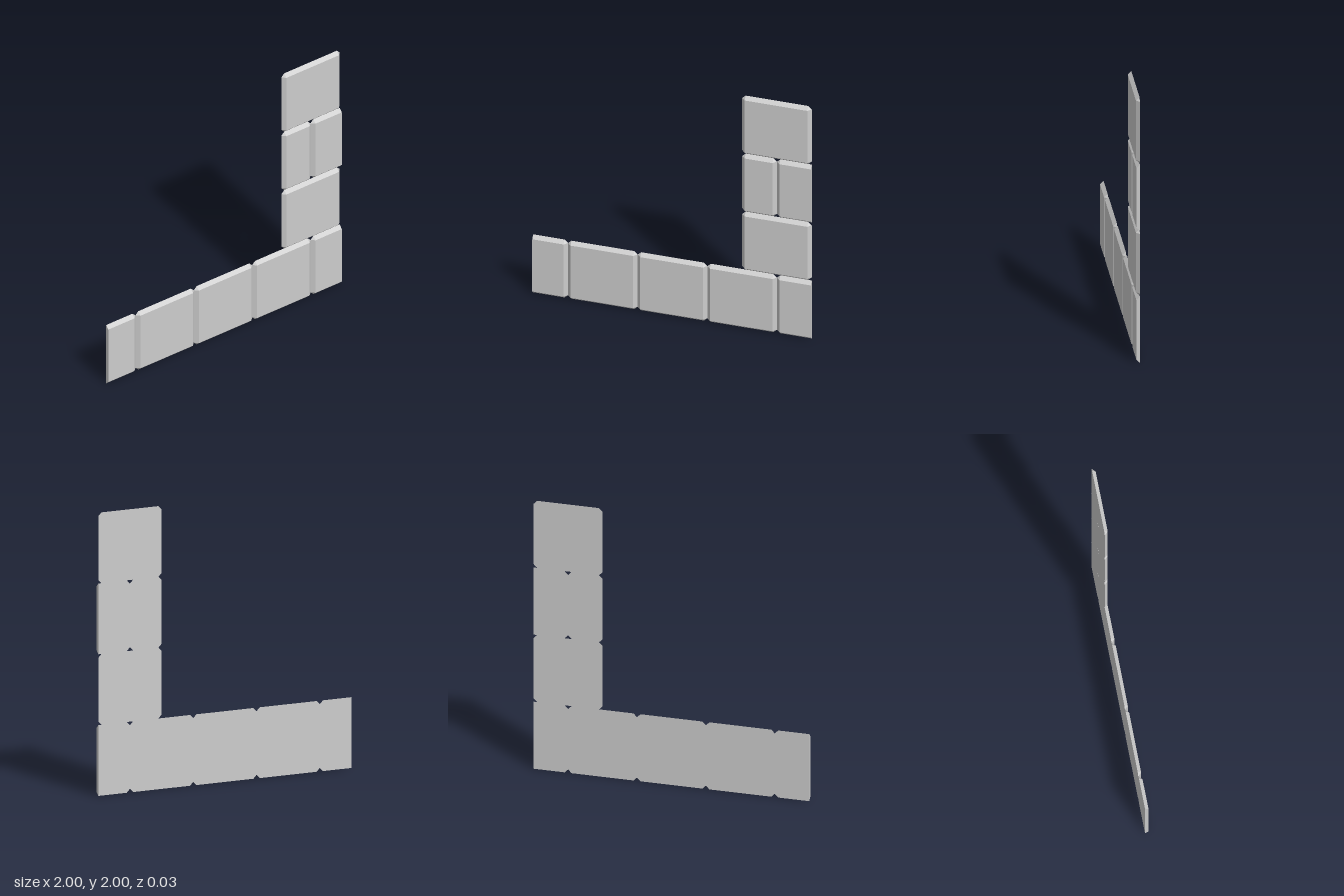
import * as THREE from 'three';
import { ConvexGeometry } from 'three/addons/geometries/ConvexGeometry.js';

const BEVEL = 0.025, HALF_DEPTH = 0.0125, ROW = 0.5;

// One brick: front face inset by the bevel, back outline with clipped corners.
// A cut end (half brick) stays flat, with no bevel and no clipped corners.
function brickGeometry(x0, x1, y0, cutLeft, cutRight) {
  const points = [];
  const ends = [[x0, 1, cutLeft], [x1, -1, cutRight]];
  const edges = [[y0, 1], [y0 + ROW, -1]];
  for (const [x, inX, cut] of ends) {
    for (const [y, inY] of edges) {
      const innerX = cut ? x : x + inX * BEVEL;
      const innerY = y + inY * BEVEL;
      points.push(new THREE.Vector3(innerX, innerY, HALF_DEPTH));
      points.push(new THREE.Vector3(innerX, y, -HALF_DEPTH));
      if (!cut) points.push(new THREE.Vector3(x, innerY, -HALF_DEPTH));
    }
  }
  return new ConvexGeometry(points);
}

export function createModel() {
  const model = new THREE.Group();
  model.name = 'brickCorner';
  const material = new THREE.MeshStandardMaterial({ color: 0xcccccc, flatShading: true });

  // Courses from the bottom up: joint positions, and which ends are cut flat
  const courses = [
    { joints: [-1, -0.75, -0.25, 0.25, 0.75, 1], cutLeft: true, cutRight: true },
    { joints: [0.5, 1] },
    { joints: [0.5, 0.75, 1], cutRight: true },
    { joints: [0.5, 1] },
  ];

  courses.forEach(({ joints, cutLeft = false, cutRight = false }, row) => {
    const course = new THREE.Group();
    course.name = `course${row + 1}`;
    const last = joints.length - 2;
    for (let i = 0; i <= last; i++) {
      const geometry = brickGeometry(
        joints[i], joints[i + 1], row * ROW,
        cutLeft && i === 0, cutRight && i === last,
      );
      const brick = new THREE.Mesh(geometry, material);
      brick.name = joints[i + 1] - joints[i] < ROW ? 'halfBrick' : 'brick';
      course.add(brick);
    }
    model.add(course);
  });
  return model;
}
